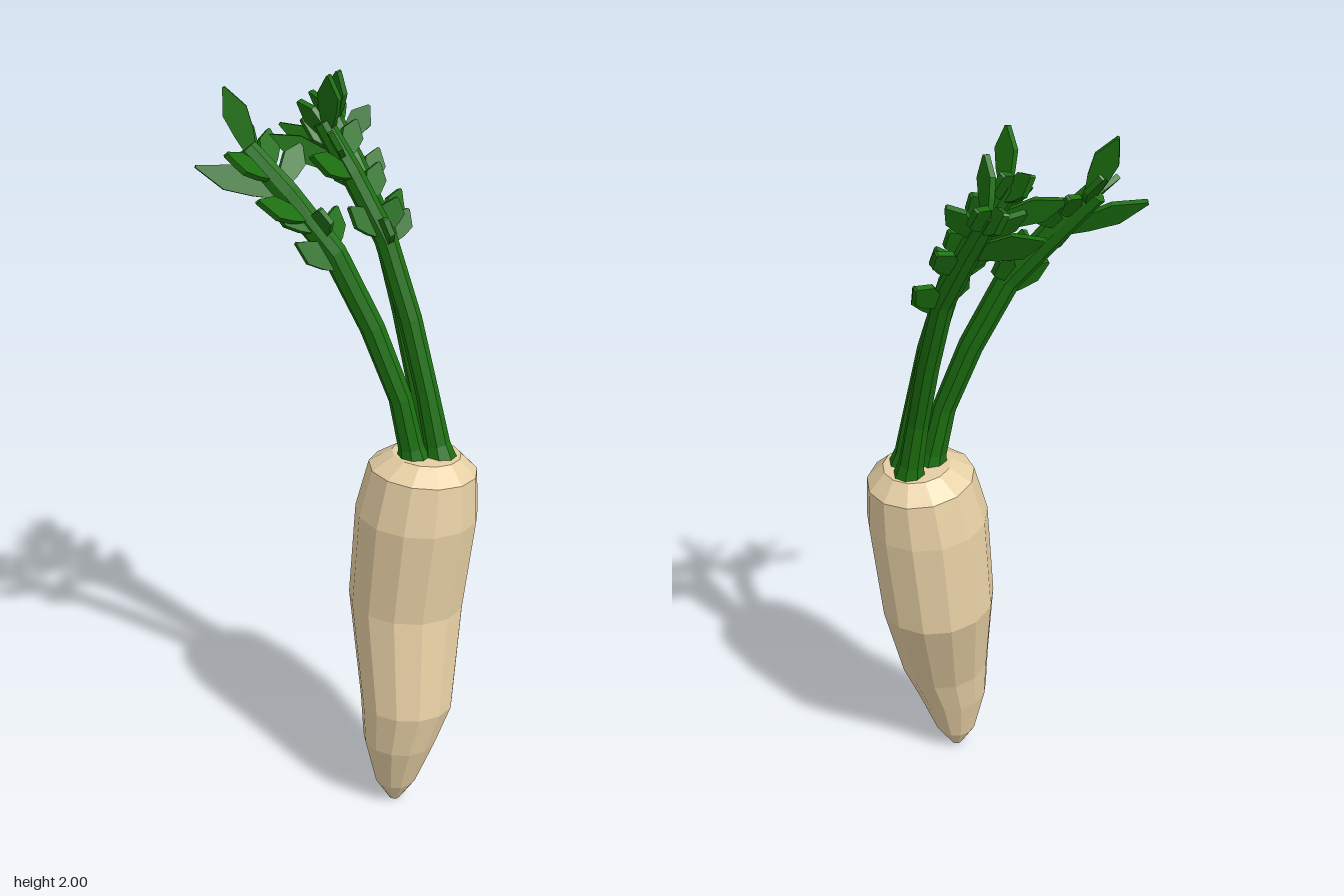
import * as THREE from 'three';

const V = (x, y, z) => new THREE.Vector3(x, y, z);

// Capped skin over rings of [x, y, z, radius, slope in x, slope in z]
function loft(rings, sides) {
  const pos = [], index = [], n = rings.length;
  for (const [x, y, z, r, sx = 0, sz = 0] of rings) {
    for (let i = 0; i < sides; i++) {
      const a = (i / sides) * Math.PI * 2;
      const dx = Math.sin(a) * r, dz = Math.cos(a) * r;
      pos.push(x + dx, y + sx * dx + sz * dz, z + dz);
    }
  }
  for (const k of [0, n - 1]) pos.push(...rings[k].slice(0, 3));
  for (let i = 0; i < sides; i++) {
    const j = (i + 1) % sides;
    for (let k = 0; k < n - 1; k++) {
      const a = k * sides + i, b = k * sides + j;
      index.push(a, b, b + sides, a, b + sides, a + sides);
    }
    index.push(n * sides, j, i);
    index.push(n * sides + 1, (n - 1) * sides + i, (n - 1) * sides + j);
  }
  const g = new THREE.BufferGeometry();
  g.setAttribute('position', new THREE.Float32BufferAttribute(pos, 3));
  g.setIndex(index);
  g.computeVertexNormals();
  return g;
}

// Flat pointed blade of unit length along +y
function bladeGeometry() {
  const s = new THREE.Shape();
  [[-0.01, 0], [0.01, 0], [0.026, 0.35], [0.032, 0.66], [0.003, 1], [-0.003, 1], [-0.028, 0.66], [-0.022, 0.35]]
    .forEach(([x, y], i) => (i ? s.lineTo(x, y) : s.moveTo(x, y)));
  return new THREE.ExtrudeGeometry(s, { depth: 0.014, bevelEnabled: false }).translate(0, 0, -0.007);
}

// Each stalk: path points and the tips of its leaves
const STALKS = [
  {
    path: [[0.11, 1.03, 0.14], [0.082, 1.2, 0.12], [0.03, 1.4, 0.065], [-0.04, 1.6, -0.005], [-0.175, 1.84, -0.155]],
    tips: [[-0.29, 1.81, -0.2], [-0.26, 1.85, -0.12], [-0.23, 1.75, -0.045], [-0.2, 1.98, -0.2],
      [-0.14, 1.91, -0.23], [-0.08, 1.86, -0.19], [-0.03, 1.83, -0.13], [-0.17, 1.72, -0.07],
      [-0.13, 1.63, -0.03], [0.02, 1.68, -0.06], [-0.08, 1.71, 0.0]],
  },
  {
    path: [[0.17, 1.03, 0.175], [0.155, 1.2, 0.14], [0.135, 1.4, 0.09], [0.105, 1.6, 0.03], [0.015, 1.88, -0.1]],
    tips: [[0.0, 2.0, -0.06], [-0.085, 1.85, -0.18], [0.0, 1.92, -0.17], [0.065, 1.93, -0.15],
      [0.11, 1.87, -0.09], [-0.08, 1.83, -0.03], [-0.03, 1.88, -0.02], [0.14, 1.77, -0.04],
      [0.02, 1.69, -0.01], [0.07, 1.67, 0.065], [0.14, 1.7, 0.03]],
  },
  {
    path: [[0.185, 1.03, 0.12], [0.172, 1.2, 0.09], [0.168, 1.4, 0.03], [0.16, 1.6, -0.04], [0.12, 1.87, -0.2]],
    tips: [[0.1, 1.98, -0.14], [0.045, 1.83, -0.3], [0.13, 1.9, -0.28], [0.185, 1.91, -0.25],
      [0.2, 1.88, -0.14], [0.04, 1.86, -0.21], [0.22, 1.77, -0.13], [0.06, 1.77, -0.14],
      [0.25, 1.67, -0.08], [0.225, 1.64, -0.02], [0.11, 1.67, -0.07]],
  },
];

export function createModel() {
  const model = new THREE.Group();
  model.name = 'rootVegetable';
  const cream = new THREE.MeshStandardMaterial({ color: 0xe6cfa4, flatShading: true });
  const green = new THREE.MeshStandardMaterial({ color: 0x1c7010, flatShading: true });

  // Crooked tapering root
  const root = new THREE.Mesh(loft([
    [0.035, 0, 0.17, 0.016],
    [0.037, 0.07, 0.17, 0.058],
    [0.042, 0.21, 0.178, 0.1, -0.08, 0.04],
    [0.062, 0.33, 0.183, 0.126, -0.1, 0.08],
    [0.113, 0.61, 0.12, 0.156, -0.08, 0.02],
    [0.128, 0.88, 0.137, 0.162, -0.06, 0],
    [0.142, 1.005, 0.142, 0.142, -0.1, 0],
    [0.15, 1.045, 0.145, 0.09, -0.08, 0],
  ], 13), cream);
  root.name = 'root';
  model.add(root);

  const blade = bladeGeometry();
  STALKS.forEach(({ path, tips }) => {
    const stalk = new THREE.Group();
    stalk.name = 'stalk';
    const curve = new THREE.CatmullRomCurve3(path.map((p) => V(...p)));

    // Stem, flared at the foot, with rings square to its path
    const stem = new THREE.Mesh(loft([0, 0.05, 0.2, 0.42, 0.65, 0.85, 1].map((t, i) => {
      const p = curve.getPointAt(t), d = curve.getTangentAt(t);
      const r = [0.043, 0.033, 0.029, 0.029, 0.027, 0.025, 0.022][i];
      return [p.x, p.y, p.z, r, -d.x / d.y, -d.z / d.y];
    }), 8), green);
    stem.name = 'stem';
    stalk.add(stem);

    // Leaves lie in the plane of the stem and reach up and out to their tips
    for (const tip of tips) {
      const end = V(...tip);
      let t = 0.97;
      while (t > 0.5 && curve.getPointAt(t).y > end.y - 0.075) t -= 0.01;
      const base = curve.getPointAt(t);
      const along = end.clone().sub(base);
      const length = along.length();
      along.normalize();
      const normal = along.clone().cross(curve.getTangentAt(t)).normalize();
      const across = along.clone().cross(normal);
      const leaf = new THREE.Mesh(blade, green);
      leaf.name = 'leaf';
      leaf.quaternion.setFromRotationMatrix(new THREE.Matrix4().makeBasis(across, along, normal));
      leaf.position.copy(base);
      leaf.scale.set(1, length, 1);
      stalk.add(leaf);
    }
    model.add(stalk);
  });
  return model;
}
